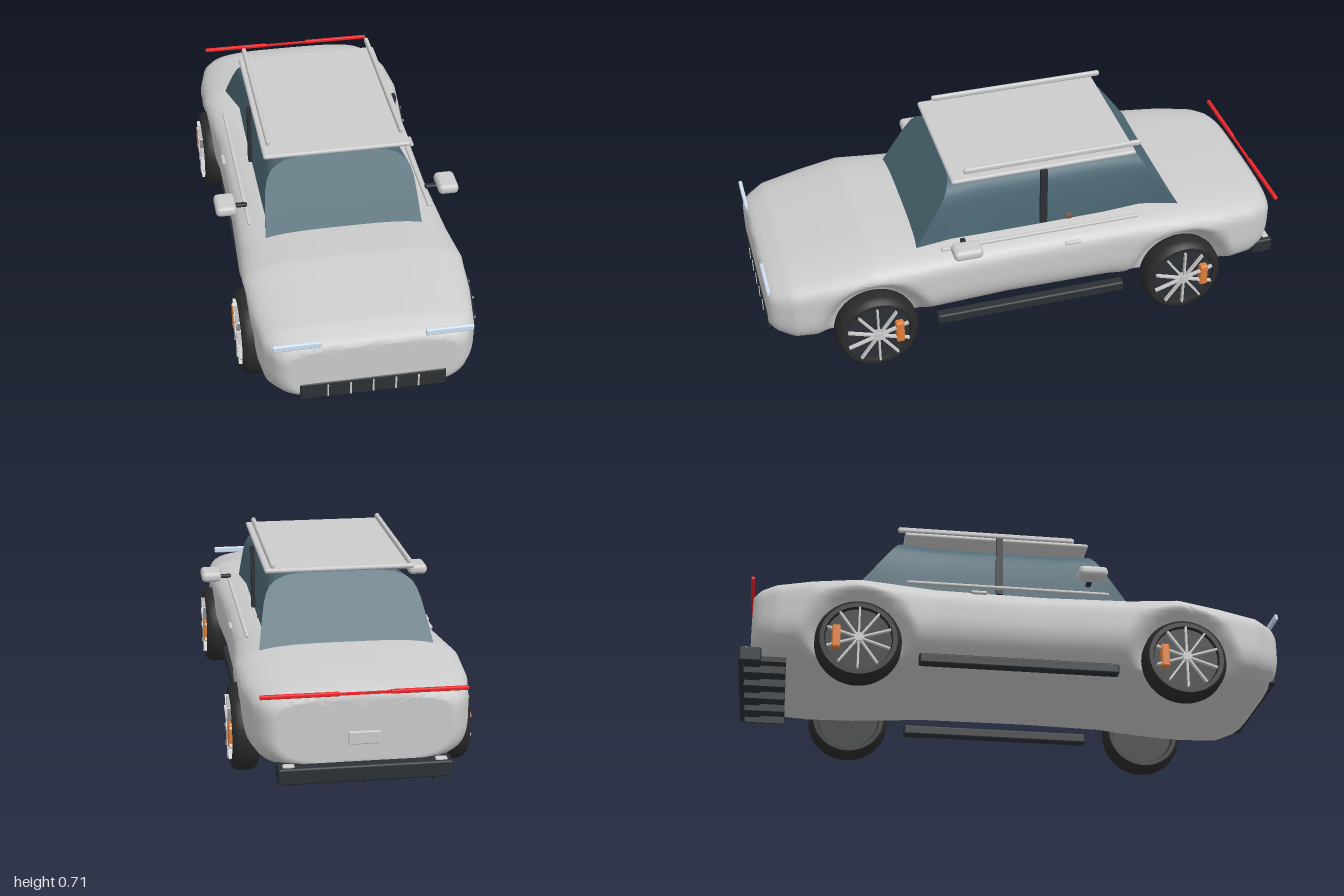
import * as THREE from 'three';
import { toCreasedNormals } from 'three/addons/utils/BufferGeometryUtils.js';
import { RoundedBoxGeometry } from 'three/addons/geometries/RoundedBoxGeometry.js';

const mat = (color) => new THREE.MeshStandardMaterial({ color });
const grey = mat(0xcccccc), dark = mat(0x2c3135), tyreBlack = mat(0x2a2a2a), glass = mat(0x4e6a76);
const red = mat(0xf0252a), orange = mat(0xe0803a), lamp = mat(0xcfe0f2), brown = mat(0x7a5540);

function add(parent, name, geometry, material, x = 0, y = 0, z = 0) {
  const mesh = new THREE.Mesh(geometry, material);
  mesh.name = name;
  mesh.position.set(x, y, z);
  parent.add(mesh);
  return mesh;
}
const box = (w, h, d) => new THREE.BoxGeometry(w, h, d);
const rbox = (w, h, d, r) => new RoundedBoxGeometry(w, h, d, 3, r);

// Skin a list of equal-length closed rings
function loft(rings, crease) {
  const n = rings[0].length, index = [];
  for (let i = 0; i < rings.length - 1; i++) {
    for (let j = 0; j < n; j++) {
      const a = i * n + j, b = i * n + (j + 1) % n;
      index.push(a, a + n, b, b, a + n, b + n);
    }
  }
  const g = new THREE.BufferGeometry();
  g.setAttribute('position', new THREE.Float32BufferAttribute(rings.flat(2), 3));
  g.setIndex(index);
  return toCreasedNormals(g, crease);
}

const WHEELS = [0.607, -0.58], WHEEL_Y = 0.155;

// Body stations: z, half width, top, bottom, squareness of the lower flank
const STATIONS = [
  [0.985, 0.3, 0.35, 0.15, 4], [0.965, 0.33, 0.368, 0.13, 4.2], [0.9, 0.37, 0.395, 0.108, 4.4],
  [0.75, 0.392, 0.42, 0.105, 4.4], [0.6, 0.403, 0.443, 0.11, 4], [0.42, 0.388, 0.433, 0.115, 3.3],
  [0.1, 0.375, 0.43, 0.115, 3.2], [-0.3, 0.378, 0.433, 0.115, 3.3], [-0.58, 0.404, 0.447, 0.112, 4],
  [-0.75, 0.396, 0.43, 0.11, 4.2], [-0.88, 0.37, 0.415, 0.115, 4.2], [-0.935, 0.338, 0.4, 0.13, 4],
  [-0.96, 0.305, 0.38, 0.15, 4],
];

function stationAt(z) {
  let i = 0;
  while (i < STATIONS.length - 2 && z < STATIONS[i + 1][0]) i++;
  const a = STATIONS[i], b = STATIONS[i + 1], t = (z - a[0]) / (b[0] - a[0]);
  return a.map((v, k) => v + (b[k] - v) * t);
}

function bodyRing(z, scale = 1) {
  const [, w, top, bottom, square] = stationAt(z), mid = bottom + (top - bottom) * 0.66, ring = [];
  for (let j = 0; j < 96; j++) {
    const t = j / 96 * Math.PI * 2, c = Math.cos(t), s = Math.sin(t);
    const e = 2 / (s > 0 ? 3.5 : square);
    let x = Math.sign(c) * w * Math.abs(c) ** e;
    const y = mid + Math.sign(s) * (s > 0 ? top - mid : mid - bottom) * Math.abs(s) ** e;
    // Press soft wheel arches into the flanks
    for (const wz of WHEELS) {
      const f = 1 - THREE.MathUtils.smoothstep(Math.hypot(z - wz, y - WHEEL_Y), 0.12, 0.225);
      x += (THREE.MathUtils.clamp(x, -0.3, 0.3) - x) * f;
    }
    ring.push([x * scale, mid + (y - mid) * scale, z]);
  }
  return ring;
}

// Flat end caps get inner rings so the rounded rim shades cleanly
function bodyGeometry() {
  const front = 0.985, back = -0.96, steps = 130, caps = [0, 0.5, 0.9, 0.95];
  const rings = caps.map((s) => bodyRing(front, s));
  for (let i = 0; i <= steps; i++) rings.push(bodyRing(front + (back - front) * i / steps));
  for (const s of caps.toReversed()) rings.push(bodyRing(back, s));
  return loft(rings, 1.2);
}

// Greenhouse: upright side glass between flared front and rear screens
function cabinGeometry() {
  const rows = [[0.42, 0.288, 0.312], [0.5, 0.281, 0.297], [0.57, 0.273, 0.282], [0.6, 0.264, 0.272],
    [0.625, 0.248, 0.257], [0.643, 0.222, 0.232], [0.656, 0.185, 0.195], [0.662, 0.13, 0.14], [0.662, 0, 0]];
  return loft(rows.map(([y, wf, wr]) => {
    const t = (y - 0.43) / 0.235, zf = 0.42 - 0.145 * t, zr = -0.58 + 0.165 * t;
    const w = wf * 0.94;
    const half = [[wr, y, zr], [w, y, zr + 0.14], [w, y, zf - 0.14], [wf, y, zf]];
    return [...half, ...half.map(([x, , z]) => [-x, y, z]).reverse()];
  }), 0.6);
}

// Wheel about the x axis, outer face towards +x
function makeWheel(name) {
  const wheel = new THREE.Group();
  wheel.name = name;
  const profile = [[0.118, -0.035], [0.122, -0.046], [0.138, -0.046], [0.149, -0.036], [0.155, -0.018],
    [0.155, 0.018], [0.149, 0.036], [0.138, 0.046], [0.122, 0.046], [0.118, 0.035], [0.118, -0.035]];
  const tyre = new THREE.LatheGeometry(profile.map(([r, y]) => new THREE.Vector2(r, y)), 48);
  add(wheel, 'tyre', toCreasedNormals(tyre, 0.7), tyreBlack).rotation.z = -Math.PI / 2;
  const disc = new THREE.CylinderGeometry(0.12, 0.12, 0.066, 40);
  add(wheel, 'rim', disc, dark).rotation.z = -Math.PI / 2;
  add(wheel, 'hub', new THREE.CylinderGeometry(0.017, 0.017, 0.03, 20), grey, 0.044).rotation.z = -Math.PI / 2;
  for (let i = 0; i < 10; i++) {
    const a = i / 10 * Math.PI * 2;
    const spoke = add(wheel, 'spoke', box(0.014, 0.108, 0.007), grey, 0.048, 0.064 * Math.cos(a), 0.064 * Math.sin(a));
    spoke.rotation.x = a;
  }
  add(wheel, 'caliper', rbox(0.03, 0.09, 0.032, 0.008), orange, 0.043, 0, -0.08);
  return wheel;
}

export function createModel() {
  const car = new THREE.Group();
  car.name = 'car';
  add(car, 'body', bodyGeometry(), grey);
  add(car, 'cabinGlass', cabinGeometry(), glass);
  add(car, 'roof', rbox(0.54, 0.017, 0.7, 0.008), grey, 0, 0.669, -0.067);

  // Parts on both sides
  for (const s of [1, -1]) {
    const side = s > 0 ? 'left' : 'right';
    add(car, side + 'RoofRail', rbox(0.017, 0.022, 0.675, 0.008), grey, s * 0.245, 0.697, -0.105);
    add(car, side + 'DoorPillar', box(0.014, 0.235, 0.026), dark, s * 0.278, 0.55, -0.06);
    add(car, side + 'SeatBolster', new THREE.SphereGeometry(0.027, 20, 14), brown, s * 0.248, 0.428, -0.162);
    add(car, side + 'BeltTrim', rbox(0.016, 0.012, 0.755, 0.005), grey, s * 0.335, 0.431, -0.033);
    add(car, side + 'DoorHandle', rbox(0.014, 0.012, 0.06, 0.005), grey, s * 0.373, 0.387, -0.147);
    add(car, side + 'Sill', rbox(0.04, 0.04, 0.73, 0.008), dark, s * 0.345, 0.119, 0.005);
    add(car, side + 'MirrorArm', rbox(0.05, 0.014, 0.02, 0.006), dark, s * 0.358, 0.463, 0.265);
    add(car, side + 'Mirror', rbox(0.076, 0.04, 0.108, 0.017), grey, s * 0.414, 0.471, 0.267);
    add(car, side + 'Headlight', rbox(0.167, 0.024, 0.014, 0.005), lamp, s * 0.262, 0.377, 0.98);
    add(car, side + 'TailLight', rbox(0.265, 0.014, 0.014, 0.004), red, s * 0.217, 0.401, -0.966);
    add(car, side + 'BumperReflector', rbox(0.04, 0.012, 0.024, 0.004), grey, s * 0.258, 0.158, -0.978);
    WHEELS.forEach((z, i) => {
      const wheel = makeWheel(side + (i ? 'Rear' : 'Front') + 'Wheel');
      wheel.position.set(s * 0.373, WHEEL_Y, z);
      // The mirrored side turns round, its caliper staying behind the axle
      if (s < 0) {
        wheel.rotation.y = Math.PI;
        wheel.getObjectByName('caliper').position.z = 0.08;
      }
      car.add(wheel);
    });
  }

  // Front grille with slats
  add(car, 'grille', rbox(0.512, 0.068, 0.028, 0.008), dark, 0, 0.176, 0.975);
  for (let i = -2; i <= 2; i++) {
    add(car, 'grilleSlat', box(0.006, 0.05, 0.008), grey, i * 0.079, 0.175, 0.988);
  }

  // Rear light bar, plate, bumper and diffuser fins
  add(car, 'lightBar', box(0.17, 0.008, 0.008), red, 0, 0.4, -0.966);
  add(car, 'plate', rbox(0.11, 0.045, 0.014, 0.004), grey, 0, 0.243, -0.965);
  add(car, 'rearBumper', rbox(0.59, 0.058, 0.08, 0.008), dark, 0, 0.128, -0.96);
  add(car, 'diffuser', box(0.56, 0.02, 0.13), dark, 0, 0.116, -0.895);
  for (let i = -2; i <= 2; i++) {
    add(car, 'diffuserFin', box(0.008, 0.044, 0.15), dark, i * 0.119, 0.1, -0.905);
  }
  return car;
}
